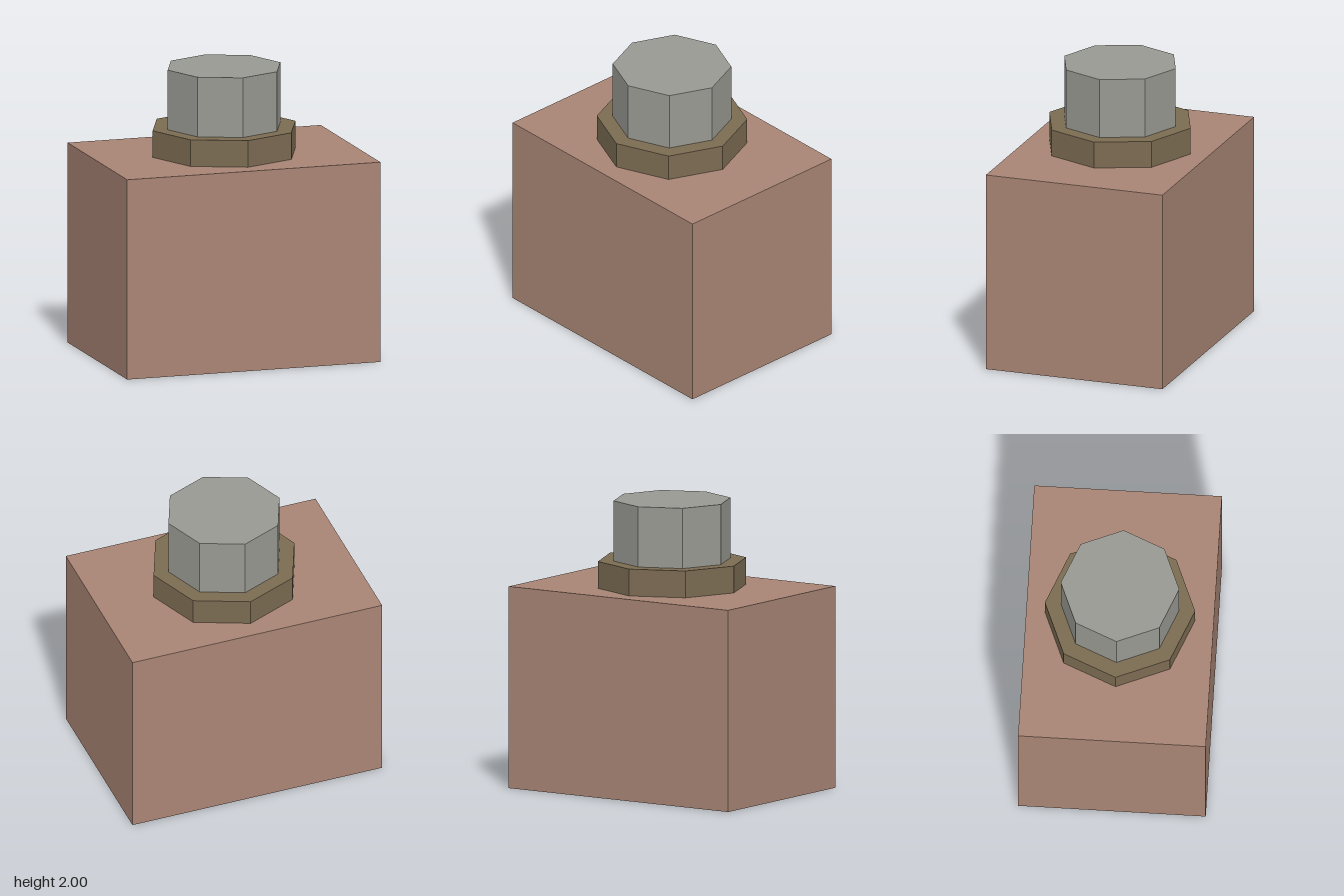
import * as THREE from 'three';

function paint(name, color) {
  const material = new THREE.MeshStandardMaterial({ color, flatShading: true });
  material.name = name;
  return material;
}

export function createModel() {
  const group = new THREE.Group();
  group.name = 'bottle';

  const clay = paint('clay brown', 0xa98575);
  const bronze = paint('dull bronze', 0x7b6b52);
  const grey = paint('warm grey', 0x999993);

  // Adds a part standing between two heights
  function addPart(name, geometry, material, bottom, top) {
    const mesh = new THREE.Mesh(geometry, material);
    mesh.name = name;
    mesh.position.y = (bottom + top) / 2;
    group.add(mesh);
  }

  // Eight-sided prism with corners on the x and z axes
  function addOctagon(name, radius, material, bottom, top) {
    addPart(name, new THREE.CylinderGeometry(radius, radius, top - bottom, 8), material, bottom, top);
  }

  const shoulder = 1.397;
  const collarTop = 1.583;

  // Block body, collar and cap
  addPart('body', new THREE.BoxGeometry(1.826, shoulder, 1.286), clay, 0, shoulder);
  addOctagon('collar', 0.515, bronze, shoulder, collarTop);
  addOctagon('cap', 0.406, grey, collarTop, 2);

  return group;
}
